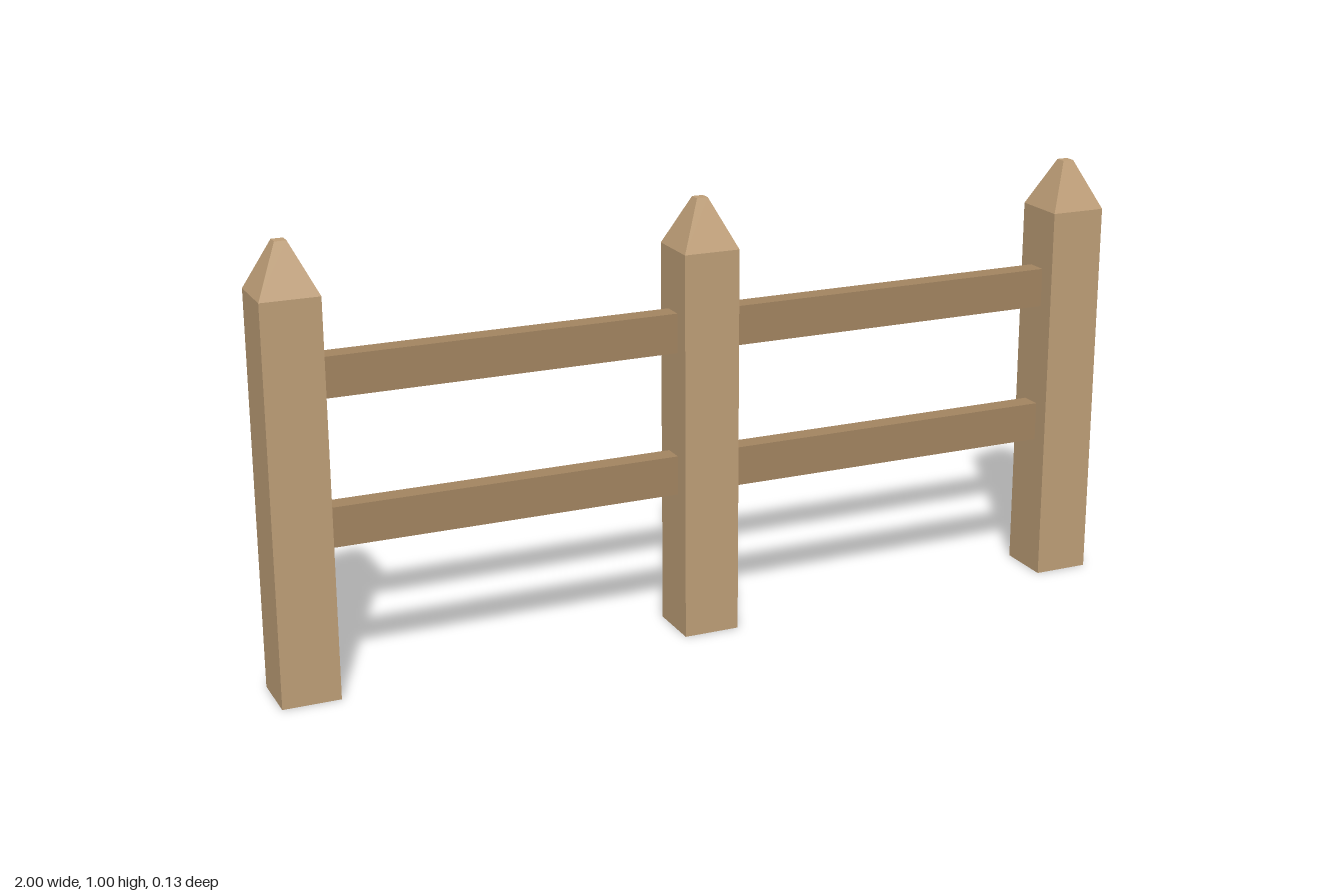
import * as THREE from 'three';

const HALF = 0.065;   // half width of a post
const SHAFT = 0.89;   // height where the pointed cap begins
const TIP = 0.013;    // half width of the blunt tip
const SPACING = 0.935;

const postWood = new THREE.MeshStandardMaterial({ color: 0xbf9f78, flatShading: true });
const railWood = new THREE.MeshStandardMaterial({ color: 0xa38561, flatShading: true });

function addMesh(parent, name, geometry, material, x, y, z) {
  const mesh = new THREE.Mesh(geometry, material);
  mesh.name = name;
  mesh.position.set(x, y, z);
  parent.add(mesh);
}

// Square post: open-topped shaft and a truncated pyramid cap
function createPost(name, x) {
  const post = new THREE.Group();
  post.name = name;
  post.position.x = x;
  const square = (top, bottom, height, open) =>
    new THREE.CylinderGeometry(top * Math.SQRT2, bottom * Math.SQRT2, height, 4, 1, open).rotateY(Math.PI / 4);
  addMesh(post, 'shaft', new THREE.BoxGeometry(HALF * 2, SHAFT, HALF * 2), postWood, 0, SHAFT / 2, 0);
  addMesh(post, 'pointedCap', square(TIP, HALF, 1 - SHAFT, false), postWood, 0, (1 + SHAFT) / 2, 0);
  return post;
}

export function createModel() {
  const fence = new THREE.Group();
  fence.name = 'fence';

  fence.add(createPost('rightPost', -SPACING), createPost('middlePost', 0), createPost('leftPost', SPACING));

  // Two rails in each bay, ending at the post faces
  const length = SPACING - HALF * 2;
  for (const [side, sign] of [['right', -1], ['left', 1]]) {
    for (const [level, y] of [['Lower', 0.375], ['Upper', 0.705]]) {
      addMesh(fence, `${side}${level}Rail`, new THREE.BoxGeometry(length, 0.09, 0.048), railWood, sign * SPACING / 2, y, 0);
    }
  }
  return fence;
}
